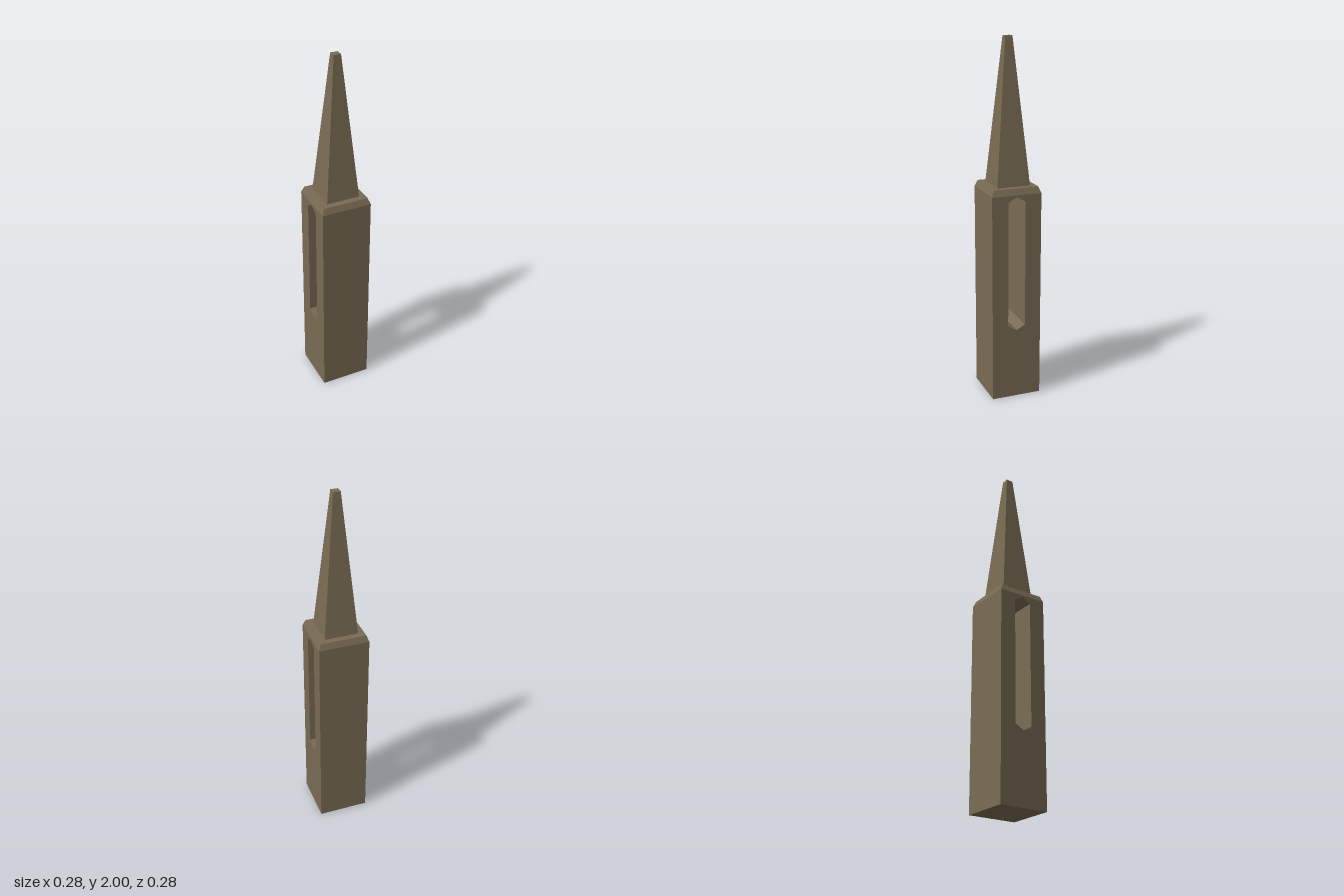
import * as THREE from 'three';

export function createModel() {
  const model = new THREE.Group();
  const material = new THREE.MeshStandardMaterial({ color: 0x7a6c54, flatShading: true });

  const half = 0.141, shoulderY = 1.175, collarY = 1.21, topY = 2;

  const add = (name, geometry) => {
    const mesh = new THREE.Mesh(geometry, material);
    mesh.name = name;
    model.add(mesh);
  };

  // Square frustum between two heights, given its half widths
  const frustum = (bottom, top, y0, y1) =>
    new THREE.CylinderGeometry(top * Math.SQRT2, bottom * Math.SQRT2, y1 - y0, 4)
      .rotateY(Math.PI / 4)
      .translate(0, (y0 + y1) / 2, 0);

  const polygon = (Type, points) => new Type(points.map(([x, y]) => new THREE.Vector2(x, y)));

  // Square shaft with a pointed slot running through from side to side
  const profile = polygon(THREE.Shape, [[-half, 0], [half, 0], [half, shoulderY], [-half, shoulderY]]);
  profile.holes.push(polygon(THREE.Path, [
    [0, 0.4], [-0.05, 0.428], [-0.05, 1.137], [0, 1.165], [0.05, 1.137], [0.05, 0.428],
  ]));
  add('slottedShaft', new THREE.ExtrudeGeometry(profile, { depth: half * 2, bevelEnabled: false })
    .translate(0, 0, -half)
    .rotateY(Math.PI / 2));

  // Chamfered shoulder and tapering spire
  add('chamferedShoulder', frustum(half, 0.128, shoulderY, collarY));
  add('spire', frustum(0.094, 0.02, collarY, topY));

  return model;
}
